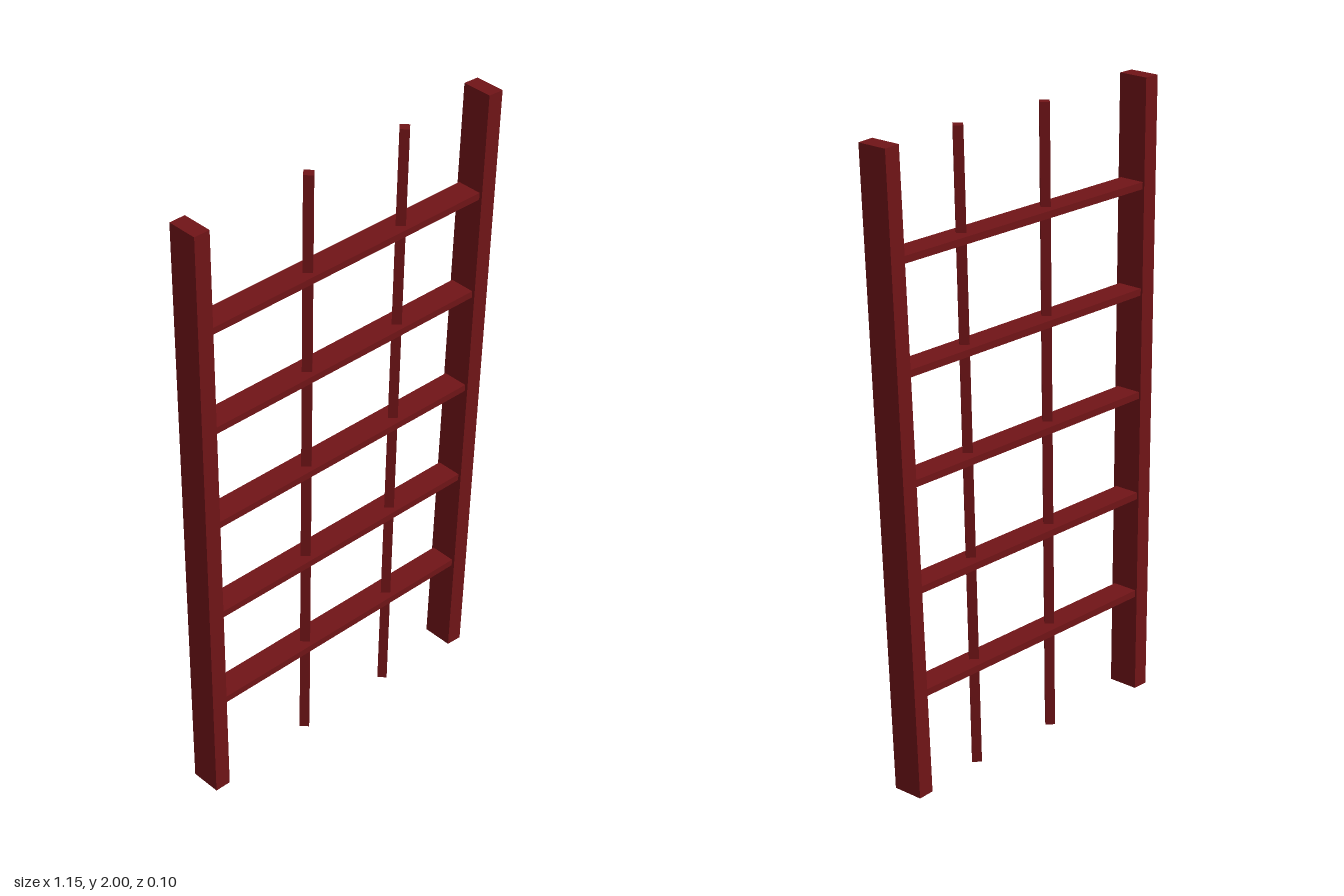
import * as THREE from 'three';

const material = new THREE.MeshStandardMaterial({ color: 0x701417, flatShading: true });

// Places a vertical part so its axis runs from (x0, y0) to (x1, y1)
function addUpright(group, name, geometry, [x0, y0], [x1, y1], z = 0) {
  const mesh = new THREE.Mesh(geometry, material);
  mesh.name = name;
  mesh.position.set((x0 + x1) / 2, (y0 + y1) / 2, z);
  mesh.rotation.z = -Math.atan2(x1 - x0, y1 - y0);
  group.add(mesh);
}

export function createModel() {
  const group = new THREE.Group();
  group.name = 'ladderRack';

  // Side posts: one nearly plumb, one leaning outward
  const post = new THREE.BoxGeometry(0.053, 1.989, 0.1);
  addUpright(group, 'rightPost', post, [-0.546, 0.009], [-0.549, 1.998]);
  addUpright(group, 'leftPost', post, [0.445, 0.009], [0.544, 1.998]);

  // Thin four-sided bars set on their corners
  const bar = new THREE.CylinderGeometry(0.021, 0.021, 1.99, 4);
  addUpright(group, 'rightBar', bar, [-0.168, 0.001], [-0.13, 1.991], 0.003);
  addUpright(group, 'leftBar', bar, [0.168, 0.001], [0.231, 1.991], 0.003);

  // Flat rungs, each reaching into both posts
  for (let i = 1; i <= 5; i++) {
    const y = 0.005 + i * 0.3328;
    const left = -0.53;
    const right = 0.43 + 0.05 * y;
    const rung = new THREE.Mesh(new THREE.BoxGeometry(right - left, 0.022, 0.084), material);
    rung.name = 'rung' + i;
    rung.position.set((left + right) / 2, y, -0.002);
    group.add(rung);
  }
  return group;
}
